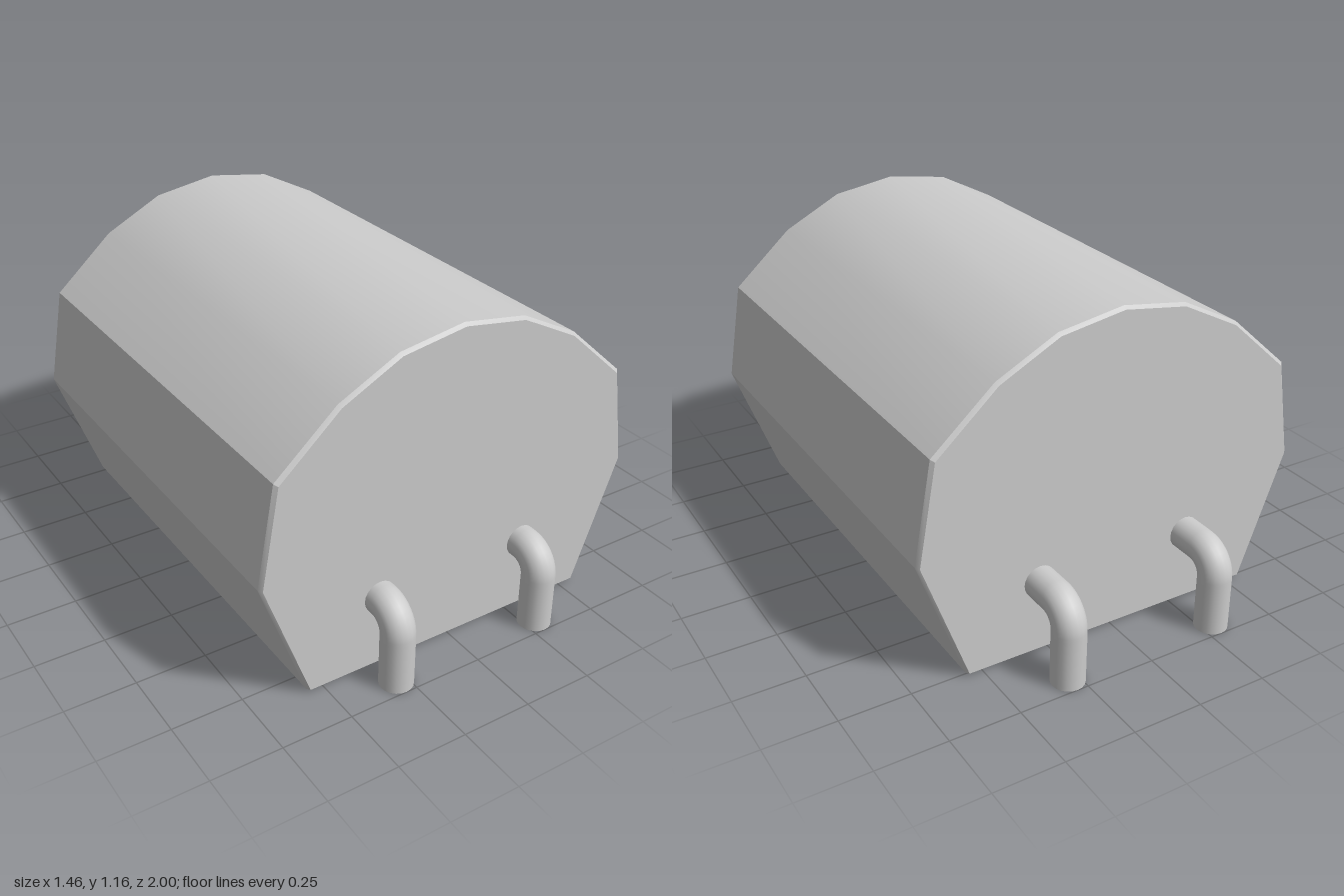
import * as THREE from 'three';
import { toCreasedNormals } from 'three/addons/utils/BufferGeometryUtils.js';

const FRONT = 0.84, BACK = -0.77, CHAMFER = 0.012;
const material = new THREE.MeshStandardMaterial({ color: 0xcccccc, side: THREE.DoubleSide });

// Arched outline, from the right foot over the top to the left foot
const half = [[0.56, 0.012], [0.728, 0.468], [0.668, 0.82], [0.45, 1.015], [0.235, 1.125]];
const outline = [...half, [0, 1.162], ...half.map(([x, y]) => [-x, y]).reverse()];
const inset = outline.map(([x, y]) => [x * 0.984, y * 0.991]);

function named(mesh, name) {
  mesh.name = name;
  return mesh;
}

// Open-bottomed wall lofted through the sections, chamfered at both ends
function shellGeometry() {
  const sections = [
    [inset, FRONT], [outline, FRONT - CHAMFER],
    [outline, BACK + CHAMFER], [inset, BACK],
  ];
  const positions = [];
  for (let s = 0; s < sections.length - 1; s++) {
    const [p, zp] = sections[s];
    const [q, zq] = sections[s + 1];
    for (let i = 0; i < outline.length - 1; i++) {
      const a = [...p[i], zp], b = [...p[i + 1], zp];
      const c = [...q[i], zq], d = [...q[i + 1], zq];
      positions.push(...a, ...c, ...b, ...b, ...c, ...d);
    }
  }
  const geometry = new THREE.BufferGeometry();
  geometry.setAttribute('position', new THREE.Float32BufferAttribute(positions, 3));
  return toCreasedNormals(geometry, THREE.MathUtils.degToRad(25));
}

// Bent lead: up from the ground, then through the end wall
function leadGeometry() {
  const z = 0.942, top = 0.275, bend = 0.08, k = bend * 0.448;
  const v = (y, pz) => new THREE.Vector3(0, y, pz);
  const path = new THREE.CurvePath();
  path.add(new THREE.LineCurve3(v(0, z), v(top - bend, z)));
  path.add(new THREE.CubicBezierCurve3(
    v(top - bend, z), v(top - k, z), v(top, z - k), v(top, z - bend)));
  path.add(new THREE.LineCurve3(v(top, z - bend), v(top, 0.74)));
  return new THREE.TubeGeometry(path, 36, 0.058, 20, false);
}

export function createModel() {
  const model = new THREE.Group();
  model.name = 'leadedComponent';

  // Housing
  const housing = new THREE.Group();
  housing.name = 'housing';
  housing.add(named(new THREE.Mesh(shellGeometry(), material), 'housingWall'));
  const capShape = new THREE.Shape(inset.map(([x, y]) => new THREE.Vector2(x, y)));
  const capGeometry = new THREE.ShapeGeometry(capShape);
  const frontCap = named(new THREE.Mesh(capGeometry, material), 'frontEndWall');
  frontCap.position.z = FRONT;
  const backCap = named(new THREE.Mesh(capGeometry, material), 'backEndWall');
  backCap.position.z = BACK;
  backCap.rotation.y = Math.PI;
  housing.add(frontCap, backCap);
  model.add(housing);

  // Four leads, two at each end
  const lead = leadGeometry();
  for (const [end, turn] of [['front', 0], ['back', Math.PI]]) {
    for (const [side, x] of [['Left', 0.29], ['Right', -0.29]]) {
      const mesh = named(new THREE.Mesh(lead, material), `${end}${side}Lead`);
      mesh.position.x = x;
      mesh.rotation.y = turn;
      model.add(mesh);
    }
  }
  return model;
}
